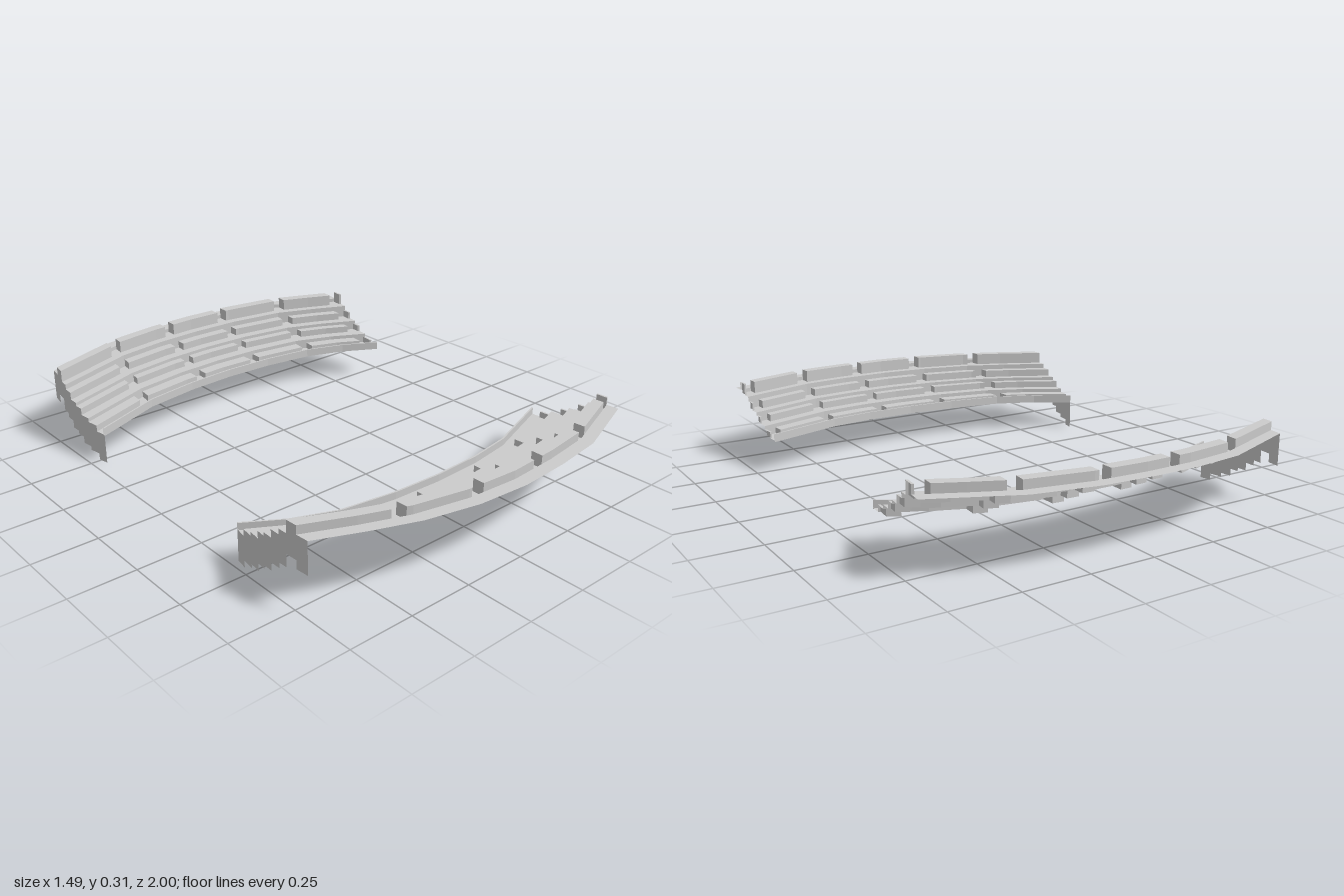
import * as THREE from 'three';

// Plan stations along each stand: [innerX, innerZ, outerX, outerZ]
const FRONT = [
  [-0.72, 0.42, -0.74, 0.80], [-0.58, 0.51, -0.57, 0.875], [-0.42, 0.575, -0.4, 0.94],
  [-0.2, 0.607, -0.2, 0.985], [0, 0.615, 0, 1.0], [0.2, 0.607, 0.2, 0.987],
  [0.38, 0.58, 0.4, 0.96], [0.68, 0.475, 0.70, 0.85],
];
const BACK = [
  [-0.70, -0.465, -0.70, -0.845], [-0.42, -0.575, -0.37, -0.97], [-0.2, -0.61, -0.18, -0.995],
  [0, -0.62, 0, -1.0], [0.2, -0.61, 0.2, -0.992], [0.4, -0.58, 0.44, -0.95],
  [0.56, -0.52, 0.59, -0.885], [0.70, -0.44, 0.74, -0.82],
];
const FRONT_AISLES = [[-0.475, -0.43], [-0.19, -0.14], [0.1, 0.145], [0.37, 0.42], [0.64, 0.682]];
const BACK_AISLES = [[-0.44, -0.39], [-0.14, -0.095], [0.14, 0.185], [0.42, 0.465], [0.67, 0.712]];

// Terrace breaks across the depth (0 inner, 1 outer) and the height of each strip
const BREAKS = [0, 0.045, 0.095, 0.14, 0.175, 0.215, 0.255, 0.29, 0.335, 0.385].map((d) => d / 0.385);
const LEVELS = [0.12, 0.145, 0.16, 0.187, 0.2, 0.23, 0.25, 0.297, 0.265];
const SKIRT_DROP = 0.12;

const material = new THREE.MeshStandardMaterial({
  color: 0xcccccc, flatShading: true, side: THREE.DoubleSide,
});

// Collects four-cornered faces into one mesh
class FaceList {
  constructor(reverse) {
    this.positions = [];
    this.reverse = reverse;
  }
  quad(a, b, c, d) {
    const order = this.reverse ? [a, c, b, a, d, c] : [a, b, c, a, c, d];
    for (const p of order) this.positions.push(...p);
  }
  mesh(name) {
    const g = new THREE.BufferGeometry();
    g.setAttribute('position', new THREE.Float32BufferAttribute(this.positions, 3));
    g.computeVertexNormals();
    const m = new THREE.Mesh(g, material);
    m.name = name;
    return m;
  }
}

function createStand(name, stations, aisles, bulge) {
  const last = stations.length - 1;
  const reverse = stations[0][1] > 0;
  const lerp = THREE.MathUtils.lerp;

  // Point at station u, depth fraction f, height y; the deck tilts slightly along x
  const at = (u, f, y) => {
    const i = Math.min(Math.floor(u), last - 1);
    const s = stations[i].map((v, k) => lerp(v, stations[i + 1][k], u - i));
    const x = lerp(s[0], s[2], f) - bulge * Math.sin(Math.PI * f) * Math.max(0, 1 - u);
    return [x, y + 0.0045 + 0.006 * x, lerp(s[1], s[3], f)];
  };
  // Station parameter for a given x on the centreline
  const toU = (x) => {
    const mid = stations.map((s) => (s[0] + s[2]) / 2);
    let i = 0;
    while (i < last - 1 && mid[i + 1] < x) i++;
    return (x - mid[i]) / (mid[i + 1] - mid[i]);
  };
  const stationOf = (x) => {
    const mid = stations.map((s) => (s[0] + s[2]) / 2);
    let i = 0;
    while (i < last - 1 && mid[i + 1] < x) i++;
    return i + toU(x);
  };

  const gaps = aisles.map((a) => a.map(stationOf));
  const columns = [...stations.keys(), ...gaps.flat()].sort((a, b) => a - b);
  const inAisle = (u) => gaps.some(([a, b]) => u > a && u < b);
  // Seat rows (odd strips) drop to the walkway level inside an aisle
  const level = (k, aisle) => LEVELS[aisle && k % 2 ? k - 1 : k];

  const terraces = new FaceList(reverse);
  const seats = new FaceList(reverse);
  const parapet = new FaceList(reverse);
  const skirt = new FaceList(reverse);

  for (let c = 0; c < columns.length - 1; c++) {
    const u0 = columns[c], u1 = columns[c + 1];
    const aisle = inAisle((u0 + u1) / 2);
    const face = (list, f0, y0, f1, y1) =>
      list.quad(at(u0, f0, y0), at(u1, f0, y0), at(u1, f1, y1), at(u0, f1, y1));

    // Treads and risers
    LEVELS.forEach((_, k) => {
      const list = k % 2 && !aisle ? seats : terraces;
      const y = level(k, aisle);
      face(list, BREAKS[k], y, BREAKS[k + 1], y);
      if (k > 0 && level(k - 1, aisle) !== y) {
        face(list, BREAKS[k], level(k - 1, aisle), BREAKS[k], y);
      }
    });

    // Low parapet along the inner edge
    face(parapet, 0, 0.115, 0, 0.147);
    face(parapet, 0, 0.147, 0.018, 0.147);
    face(parapet, 0.018, 0.147, 0.018, 0.12);
  }

  // End faces of the seat rows beside each aisle
  for (const u of gaps.flat()) {
    for (let k = 1; k < LEVELS.length; k += 2) {
      const [f0, f1] = [BREAKS[k], BREAKS[k + 1]];
      seats.quad(at(u, f0, LEVELS[k - 1]), at(u, f1, LEVELS[k - 1]),
        at(u, f1, LEVELS[k]), at(u, f0, LEVELS[k]));
    }
  }

  // Stepped wall hanging below the -x end
  LEVELS.forEach((y, k) => {
    const [f0, f1] = [BREAKS[k], BREAKS[k + 1]];
    skirt.quad(at(0, f0, y - SKIRT_DROP), at(0, f1, y - SKIRT_DROP), at(0, f1, y), at(0, f0, y));
  });

  const stand = new THREE.Group();
  stand.name = name;
  stand.add(terraces.mesh('terraces'), seats.mesh('seatRows'),
    parapet.mesh('innerParapet'), skirt.mesh('endSkirt'));
  return stand;
}

export function createModel() {
  const model = new THREE.Group();
  model.name = 'grandstands';
  model.add(createStand('frontStand', FRONT, FRONT_AISLES, 0.015));
  model.add(createStand('backStand', BACK, BACK_AISLES, 0.02));
  return model;
}
